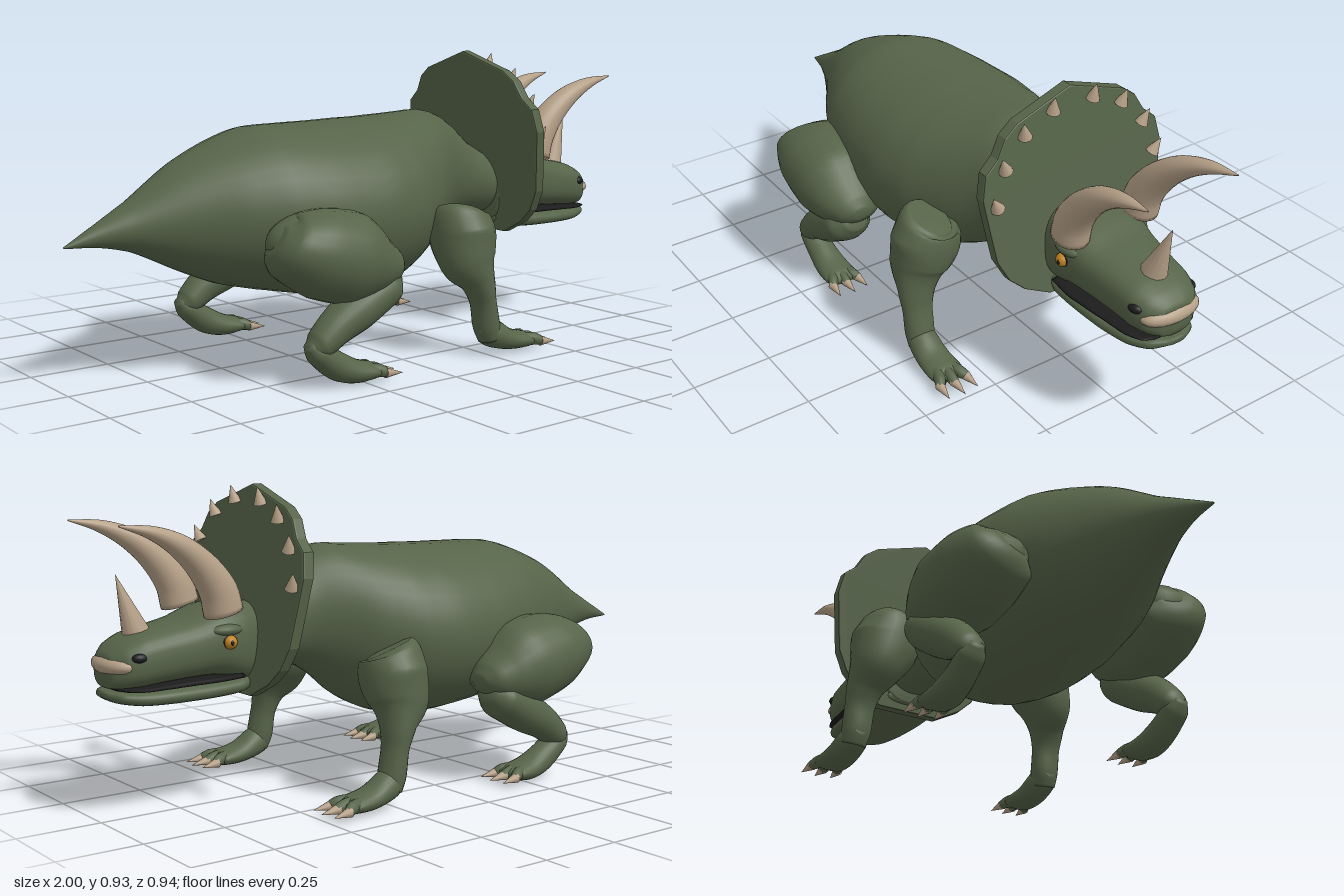
import * as THREE from 'three';

const mat = (name, color) => Object.assign(new THREE.MeshStandardMaterial({ color }), { name });

// Smooth skin over sections [x, y, z, radius in the side plane, radius in z]; pow < 1 squares the section,
// upright keeps every section in the YZ plane.
function loft(sections, { s = 1, steps = 5, sides = 24, pow = 1, upright = false } = {}) {
  const path = new THREE.CatmullRomCurve3(sections.map(p => new THREE.Vector3(p[0], p[1], p[2])));
  const radii = new THREE.CatmullRomCurve3(sections.map(p => new THREE.Vector3(p[3], p[4], 0)));
  const n = (sections.length - 1) * steps, pos = [], idx = [];
  const bend = v => Math.sign(v) * Math.pow(Math.abs(v), pow);
  const tri = (a, b, c) => s > 0 ? idx.push(a, b, c) : idx.push(a, c, b);
  for (let i = 0; i <= n; i++) {
    const c = path.getPoint(i / n), r = radii.getPoint(i / n);
    const t = upright ? new THREE.Vector3(1, 0, 0) : path.getTangent(i / n);
    const side = new THREE.Vector3(0, 0, 1).addScaledVector(t, -t.z).normalize();
    const up = new THREE.Vector3().crossVectors(side, t);
    for (let j = 0; j < sides; j++) {
      const a = j / sides * Math.PI * 2;
      const v = c.clone().addScaledVector(up, bend(Math.cos(a)) * Math.max(r.x, 0.001))
        .addScaledVector(side, bend(Math.sin(a)) * Math.max(r.y, 0.001));
      pos.push(v.x, v.y, v.z * s);
    }
  }
  const first = pos.length / 3;
  for (const p of [sections[0], sections.at(-1)]) pos.push(p[0], p[1], p[2] * s);
  for (let j = 0; j < sides; j++) {
    const k = (j + 1) % sides, e = n * sides;
    for (let i = 0; i < n; i++) {
      const a = i * sides + j, b = i * sides + k;
      tri(a, b, a + sides);
      tri(b, b + sides, a + sides);
    }
    tri(first, k, j);
    tri(first + 1, e + j, e + k);
  }
  const g = new THREE.BufferGeometry();
  g.setAttribute('position', new THREE.Float32BufferAttribute(pos, 3));
  g.setIndex(idx);
  g.computeVertexNormals();
  return g;
}

// Upright loft from a profile of [x, top, bottom, half width]
const profileLoft = (profile, options) => loft(
  profile.map(([x, t, b, w]) => [x, (t + b) / 2, 0, (t - b) / 2, w]), { upright: true, ...options });

export function createModel() {
  const model = new THREE.Group();
  model.name = 'hornedDinosaur';
  const skin = mat('greenSkin', 0x566449), bone = mat('paleHorn', 0xb5a087);
  const dark = mat('darkDetail', 0x1b1c1b), amber = mat('amberEye', 0xbd8120);

  const add = (name, geo, material, parent = model) => {
    const m = new THREE.Mesh(geo, material);
    m.name = name;
    parent.add(m);
    return m;
  };
  const ball = (name, p, r, material, parent) => {
    const m = add(name, new THREE.SphereGeometry(1, 20, 14), material, parent);
    m.position.set(...p);
    m.scale.set(...r);
  };
  const spike = (name, base, dir, r, h, parent) => {
    const m = add(name, new THREE.ConeGeometry(r, h, 12).translate(0, h / 2, 0), bone, parent);
    m.position.set(...base);
    m.quaternion.setFromUnitVectors(new THREE.Vector3(0, 1, 0), new THREE.Vector3(...dir).normalize());
  };

  // Body with tail and neck
  add('body', profileLoft([[-1, .43, .425, .004], [-.9, .485, .418, .035], [-.8, .54, .395, .075], [-.64, .643, .32, .155],
    [-.52, .695, .27, .225], [-.4, .73, .24, .28], [-.24, .735, .208, .315], [-.08, .738, .195, .325], [.06, .742, .21, .3],
    [.18, .748, .265, .235], [.27, .75, .335, .17], [.35, .718, .385, .125], [.44, .645, .397, .11], [.56, .575, .39, .11]],
  { sides: 40 }), skin);

  // Head: skull and lower jaw closed on a thin dark mouth line
  const head = new THREE.Group();
  head.name = 'head';
  model.add(head);
  add('skull', profileLoft([[.52, .6, .36, .11], [.6, .605, .37, .138], [.67, .595, .392, .14], [.75, .567, .393, .128],
    [.83, .55, .388, .118], [.9, .535, .382, .112], [.95, .512, .382, .094], [.98, .485, .388, .06], [.988, .46, .41, .025]],
  { pow: .75, sides: 32 }), skin, head);
  add('lowerJaw', profileLoft([[.53, .4, .36, .08], [.6, .395, .338, .122], [.68, .39, .332, .125], [.8, .386, .33, .122],
    [.9, .383, .333, .108], [.96, .383, .345, .08], [.99, .38, .362, .03]], { pow: .75, sides: 28 }), skin, head);
  add('mouth', loft([[.6, .396, 0, .008, .128], [.68, .394, 0, .009, .137], [.75, .392, 0, .009, .131], [.83, .388, 0, .008, .121],
    [.9, .385, 0, .007, .113], [.95, .385, 0, .004, .092], [.965, .385, 0, .002, .06]], { pow: .5, upright: true }), dark, head);
  ball('beak', [.948, .45, 0], [.05, .034, .1], bone, head);
  spike('noseHorn', [.872, .515, 0], [.35, 1, 0], .044, .195, head);

  // Frill: wavy plate leaning back
  const half = [[.115, .337], [.2, .38], [.25, .425], [.285, .49], [.298, .57], [.315, .685], [.3, .755], [.258, .79],
    [.228, .842], [.185, .873], [.1, .9], [0, .932]];
  const outline = new THREE.Shape([...half, ...half.slice(0, -1).reverse().map(([z, y]) => [-z, y])]
    .map(([z, y]) => new THREE.Vector2(z, y)));
  const plate = new THREE.ExtrudeGeometry(outline, { depth: .024, bevelSize: .004, bevelThickness: .006, bevelSegments: 2 });
  plate.rotateY(Math.PI / 2);
  const pp = plate.attributes.position;
  for (let i = 0; i < pp.count; i++) pp.setX(i, pp.getX(i) + .551 - .15 * (pp.getY(i) - .335));
  plate.computeVertexNormals();
  add('frill', plate, skin, head);

  // Three toes with claws, fanned forward from the sole
  const toes = (leg, x, y, z, s) => [-1, 0, 1].forEach(k => {
    const tip = [x + .055 - .008 * Math.abs(k), y - .004, z + k * .045];
    add('toe', loft([[x - .04, y + .008, z + k * .018, .022, .02], [x + .015, y + .006, z + k * .035, .02, .018],
      [tip[0] - .01, tip[1] + .003, tip[2], .014, .014], [...tip, .007, .007]], { s, sides: 12 }), skin, leg);
    spike('claw', [tip[0] - .016, tip[1] + .003, tip[2] * s], [1, -.12, k * .1 * s], .016, .062, leg);
  });

  for (const s of [1, -1]) {
    // Brow horn, eye, brow and nostril
    add('browHorn', loft([[.668, .585, .125, .058, .055], [.685, .645, .127, .055, .054], [.735, .715, .132, .046, .047],
      [.81, .778, .14, .034, .038], [.9, .82, .148, .019, .024], [1, .842, .154, .002, .002]], { s }), bone, head);
    ball('eyeSocket', [.655, .5, .133 * s], [.026, .023, .013], dark, head);
    ball('eye', [.655, .5, .136 * s], [.021, .02, .022], amber, head);
    ball('pupil', [.658, .5, .154 * s], [.006, .009, .005], dark, head);
    ball('browRidge', [.655, .533, .112 * s], [.055, .02, .036], skin, head);
    ball('nostril', [.915, .475, .094 * s], [.026, .015, .019], dark, head);

    // Frill spikes [y, z, outward lean]
    for (const [y, z, lean] of [[.88, .07, .06], [.836, .17, .25], [.757, .242, .4], [.656, .278, .5]])
      spike('frillSpike', [.588 - .15 * (y - .335), y, z * s], [.25, 1, lean * s], .021, .053, head);

    // Front leg
    const front = new THREE.Group();
    front.name = 'frontLeg';
    model.add(front);
    add('foreLimb', loft([[.205, .455, .28, .07, .065], [.2, .44, .285, .094, .09], [.2, .38, .297, .1, .11],
      [.2, .3, .327, .09, .085], [.222, .235, .348, .05, .06], [.238, .17, .355, .036, .049],
      [.25, .1, .357, .04, .047], [.262, .055, .36, .035, .04]], { s }), skin, front);
    add('forePaw', loft([[.222, .1, .357, .02, .025], [.265, .075, .358, .045, .046], [.33, .046, .36, .034, .052],
      [.4, .036, .36, .025, .055], [.43, .034, .36, .01, .035]], { s }), skin, front);
    toes(front, .405, .032, .362, s);

    // Hind leg: thigh to the knee, shank back to the heel, foot forward
    const hind = new THREE.Group();
    hind.name = 'hindLeg';
    model.add(hind);
    add('thigh', loft([[-.5, .44, .3, .045, .06], [-.47, .42, .31, .095, .12], [-.38, .393, .325, .13, .14],
      [-.28, .37, .33, .138, .14], [-.19, .345, .335, .1, .115], [-.125, .335, .34, .055, .075], [-.098, .332, .34, .02, .03]], { s }), skin, hind);
    ball('hip', [-.34, .42, .3 * s], [.18, .095, .125], skin, hind);
    add('shank', loft([[-.12, .3, .35, .03, .04], [-.17, .275, .355, .062, .08], [-.26, .225, .362, .064, .072],
      [-.34, .18, .365, .054, .058], [-.4, .135, .365, .042, .048], [-.435, .122, .365, .015, .02]], { s }), skin, hind);
    add('hindPaw', loft([[-.435, .14, .365, .015, .02], [-.405, .115, .365, .036, .042], [-.34, .067, .365, .042, .046],
      [-.28, .042, .365, .036, .053], [-.22, .036, .365, .025, .055], [-.19, .034, .365, .01, .035]], { s }), skin, hind);
    toes(hind, -.225, .032, .365, s);
  }
  return model;
}
